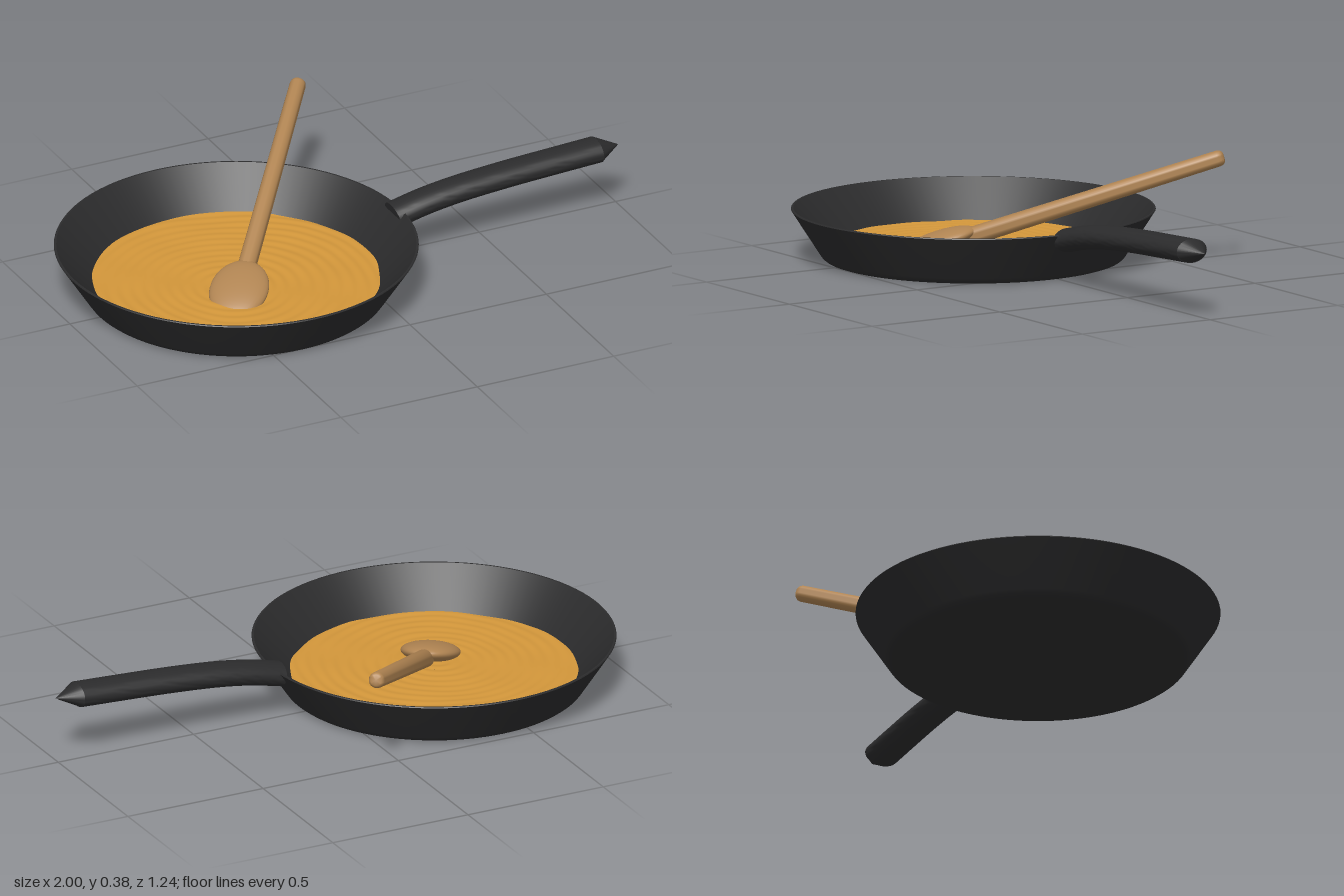
import * as THREE from 'three';
import { toCreasedNormals } from 'three/addons/utils/BufferGeometryUtils.js';

const pts = (list) => list.map(([x, y]) => new THREE.Vector2(x, y));

function mesh(name, geometry, material) {
  const m = new THREE.Mesh(geometry, material);
  m.name = name;
  return m;
}

// Bends a unit cylinder or cone along a curve, with an oval cross-section
function sweep(geometry, curve, halfWidth, halfHeight) {
  const pos = geometry.attributes.position;
  for (let i = 0; i < pos.count; i++) {
    const t = THREE.MathUtils.clamp(pos.getY(i) + 0.5, 0, 1);
    const p = curve.getPoint(t);
    const d = curve.getTangent(t);
    const h = pos.getZ(i) * halfHeight;
    pos.setXYZ(i, p.x - d.y * h, p.y + d.x * h, pos.getX(i) * halfWidth);
  }
  return toCreasedNormals(geometry, 0.6);
}

export function createModel() {
  const iron = new THREE.MeshStandardMaterial({ color: 0x2b2b2c });
  iron.name = 'black iron';
  const sauceColor = new THREE.MeshStandardMaterial({ color: 0xd2963a });
  sauceColor.name = 'golden sauce';
  const wood = new THREE.MeshStandardMaterial({ color: 0xb08452 });
  wood.name = 'wood';

  const model = new THREE.Group();
  model.name = 'fryingPanWithSpoon';

  // Pan: flat base, rounded foot, flared wall, thin rim
  const panProfile = pts([
    [0, 0], [0.478, 0], [0.49, 0.004], [0.499, 0.011], [0.506, 0.021],
    [0.6, 0.167], [0.598, 0.17], [0.592, 0.17], [0.46, 0.03], [0, 0.03],
  ]);
  const pan = mesh('pan', toCreasedNormals(new THREE.LatheGeometry(panProfile, 96), 0.5), iron);
  pan.position.set(-0.4, 0, 0.02);
  model.add(pan);

  // Sauce: disc with gentle overlapping ripples
  const sauceGeo = new THREE.RingGeometry(0.001, 0.482, 120, 60);
  sauceGeo.rotateX(-Math.PI / 2);
  const sp = sauceGeo.attributes.position;
  for (let i = 0; i < sp.count; i++) {
    const x = sp.getX(i), z = sp.getZ(i);
    const rings = Math.sin(Math.hypot(x + 0.04, z - 0.06) * 150 + Math.sin(x * 13) + Math.sin(z * 11));
    const swell = Math.sin(x * 21 + z * 9) * Math.sin(z * 25 - x * 7);
    sp.setY(i, rings * 0.0014 + swell * 0.0012);
  }
  sauceGeo.computeVertexNormals();
  const sauce = mesh('sauce', sauceGeo, sauceColor);
  sauce.position.set(-0.4, 0.045, 0.02);
  model.add(sauce);

  // Pan handle: curved oval bar ending in a point
  const handle = new THREE.Group();
  handle.name = 'panHandle';
  handle.position.z = 0.02;
  const barPath = new THREE.CatmullRomCurve3([
    [0.175, 0.146], [0.28, 0.17], [0.4, 0.188], [0.58, 0.203], [0.75, 0.212], [0.92, 0.22],
  ].map(([x, y]) => new THREE.Vector3(x, y, 0)));
  const tipPath = new THREE.LineCurve3(new THREE.Vector3(0.919, 0.22, 0), new THREE.Vector3(1, 0.221, 0));
  handle.add(
    mesh('handleBar', sweep(new THREE.CylinderGeometry(1, 1, 1, 32, 24), barPath, 0.059, 0.04), iron),
    mesh('handleTip', sweep(new THREE.ConeGeometry(1, 1, 32, 1), tipPath, 0.059, 0.04), iron),
  );
  model.add(handle);

  // Wooden spoon: leaning on the rim with its bowl dipped in the sauce
  const spoon = new THREE.Group();
  spoon.name = 'spoon';
  const start = new THREE.Vector3(-0.385, 0.075, 0.055);
  const along = new THREE.Vector3(0.137, 0.357, -0.607).sub(start);
  const length = along.length();
  along.normalize();
  const side = along.clone().cross(new THREE.Vector3(0, 1, 0)).normalize();
  const up = side.clone().cross(along);
  spoon.quaternion.setFromRotationMatrix(new THREE.Matrix4().makeBasis(side, along, up));
  spoon.position.copy(start);

  const stickProfile = pts([
    [0, -0.012], [0.029, -0.012], [0.031, 0], [0.027, length - 0.012],
    [0.024, length - 0.002], [0.018, length + 0.004], [0, length + 0.006],
  ]);
  spoon.add(mesh('spoonHandle', toCreasedNormals(new THREE.LatheGeometry(stickProfile, 24), 0.9), wood));

  const bowl = mesh('spoonBowl', new THREE.SphereGeometry(1, 32, 20), wood);
  bowl.scale.set(0.098, 0.132, 0.034);
  bowl.position.set(0, -0.095, 0.016);
  spoon.add(bowl);
  model.add(spoon);

  return model;
}
